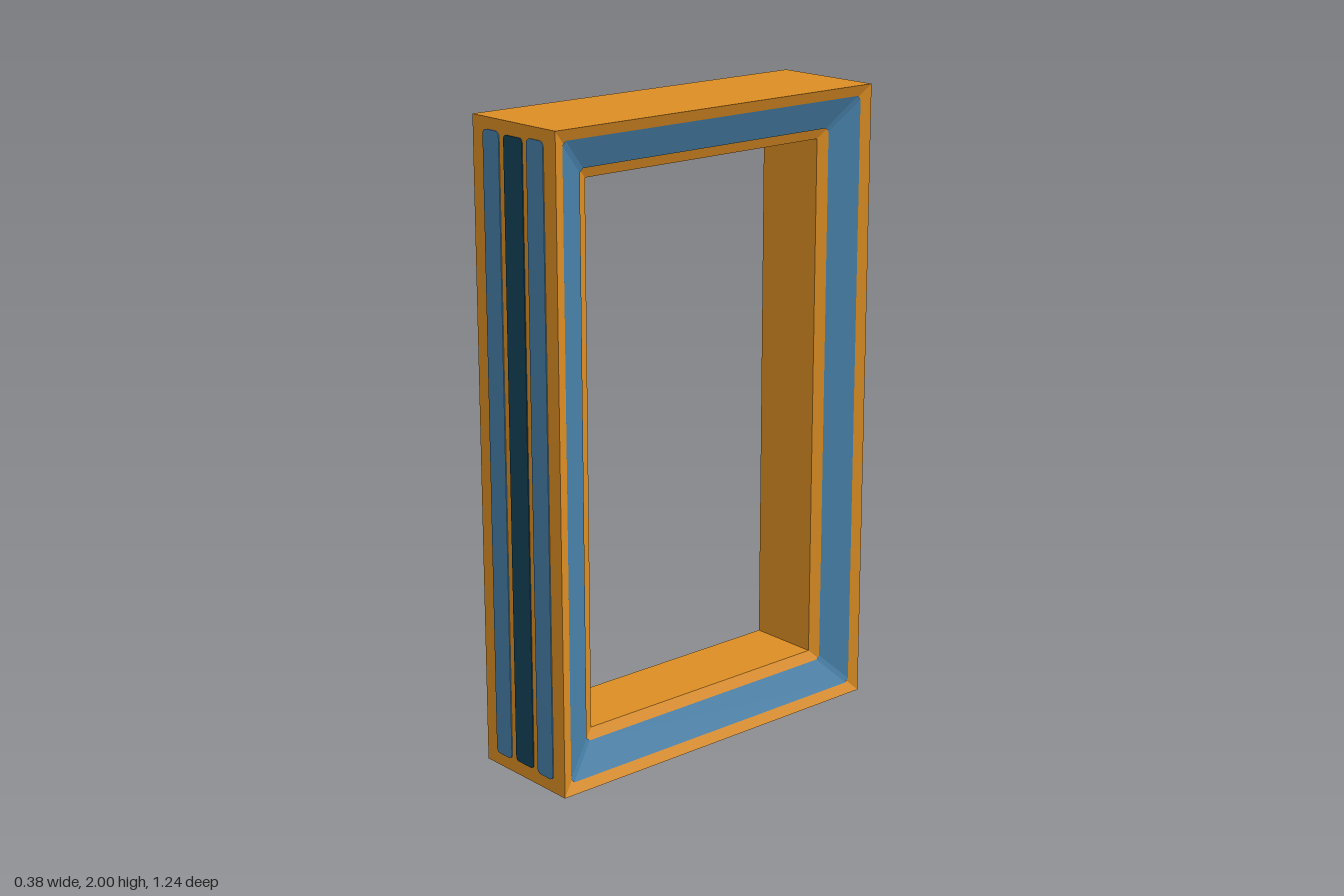
import * as THREE from 'three';

const HALF_DEPTH = 0.617, HALF_WIDTH = 0.188, BAR = 0.16, SLOPE = 0.44;

// Rectangle in the YZ plane, inset from the outer outline, with optionally cut corners
function loop(inset, x, cut = 0) {
  const z = HALF_DEPTH - inset, lo = inset, hi = 2 - inset;
  const pts = cut
    ? [[z - cut, lo], [z, lo + cut], [z, hi - cut], [z - cut, hi],
       [cut - z, hi], [-z, hi - cut], [-z, lo + cut], [cut - z, lo]]
    : [[z, lo], [z, hi], [-z, hi], [-z, lo]];
  return pts.map(([pz, py]) => [x, py, pz]);
}

// Flat-faced surface joining successive loops
function skin(loops) {
  const pos = [];
  for (let k = 0; k < loops.length - 1; k++) {
    const a = loops[k], b = loops[k + 1], n = a.length;
    for (let i = 0; i < n; i++) {
      const j = (i + 1) % n;
      pos.push(...a[i], ...b[i], ...b[j], ...a[i], ...b[j], ...a[j]);
    }
  }
  const geo = new THREE.BufferGeometry();
  geo.setAttribute('position', new THREE.Float32BufferAttribute(pos, 3));
  geo.computeVertexNormals();
  return geo;
}

// Thin upright strip with rounded corners
function stripGeometry(w, y0, y1, r) {
  const s = new THREE.Shape(), h = w / 2;
  s.moveTo(-h + r, y0);
  s.lineTo(h - r, y0);
  s.quadraticCurveTo(h, y0, h, y0 + r);
  s.lineTo(h, y1 - r);
  s.quadraticCurveTo(h, y1, h - r, y1);
  s.lineTo(-h + r, y1);
  s.quadraticCurveTo(-h, y1, -h, y1 - r);
  s.lineTo(-h, y0 + r);
  s.quadraticCurveTo(-h, y0, -h + r, y0);
  return new THREE.ExtrudeGeometry(s, { depth: 0.003, bevelEnabled: false, curveSegments: 4 });
}

export function createModel() {
  const material = (name, color) => {
    const m = new THREE.MeshStandardMaterial({ color });
    m.name = name;
    return m;
  };
  const orange = material('orange', 0xdb8d24);
  const blue = material('blue', 0x4780a8);
  const navy = material('navy', 0x14425a);

  const group = new THREE.Group();
  group.name = 'portalFrame';
  const add = (parent, name, geo, mat) => {
    const mesh = new THREE.Mesh(geo, mat);
    mesh.name = name;
    parent.add(mesh);
    return mesh;
  };

  // Hollow frame whose side faces slope in towards the opening
  const innerX = HALF_WIDTH - BAR * SLOPE;
  add(group, 'frame', skin([
    loop(0, HALF_WIDTH), loop(BAR, innerX), loop(BAR, -innerX),
    loop(0, -HALF_WIDTH), loop(0, HALF_WIDTH),
  ]), orange);

  // Painted details, repeated by a half turn for the opposite faces
  const bandX = (inset) => HALF_WIDTH - inset * SLOPE + 0.003;
  const band = skin([loop(0.034, bandX(0.034), 0.012), loop(0.128, bandX(0.128), 0.012)]);
  const sideStrip = stripGeometry(0.074, 0.04, 1.965, 0.018);
  const midStrip = stripGeometry(0.084, 0.045, 1.96, 0.014);
  for (const [label, turn] of [['front', 0], ['back', Math.PI]]) {
    const half = new THREE.Group();
    half.name = label + 'Details';
    half.rotation.y = turn;
    add(half, 'sideBand', band, blue);
    for (const x of [-0.102, 0.098]) add(half, 'outerStrip', sideStrip, blue).position.set(x, 0, HALF_DEPTH);
    add(half, 'middleStrip', midStrip, navy).position.set(-0.001, 0, HALF_DEPTH);
    group.add(half);
  }
  return group;
}
